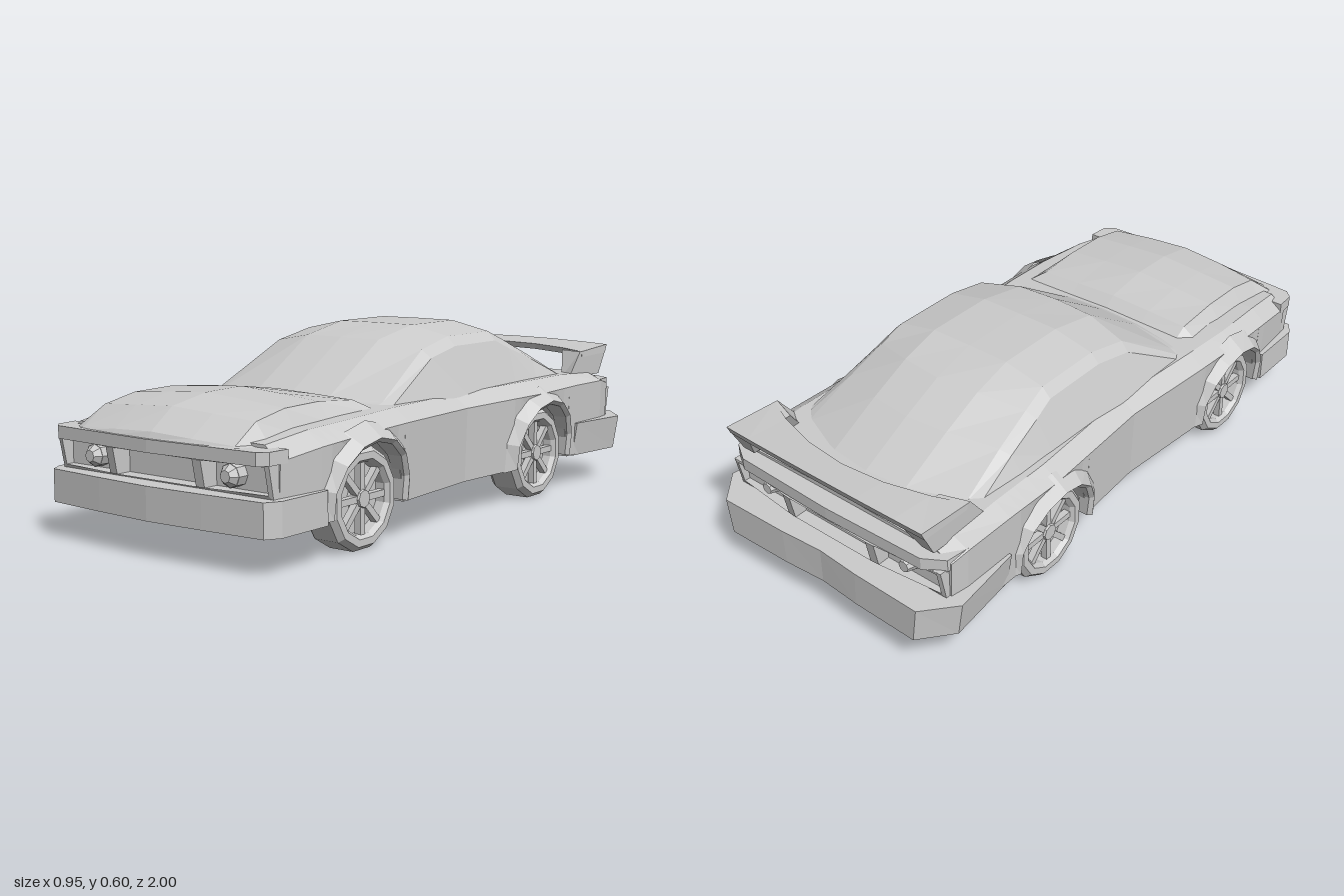
import * as THREE from 'three';

const mat = new THREE.MeshStandardMaterial({ color: 0xcccccc, flatShading: true });
const thin = new THREE.MeshStandardMaterial({ color: 0xcccccc, flatShading: true, side: THREE.DoubleSide });
const lerp = THREE.MathUtils.lerp;

function add(parent, name, geo, m = mat) {
  const mesh = new THREE.Mesh(geo, m);
  mesh.name = name;
  parent.add(mesh);
  return mesh;
}

// Skin through cross-sections; closed sections get end caps
function loft(rings, closed = true) {
  const n = rings[0].length, pos = rings.flat(2), idx = [];
  for (let i = 0; i < rings.length - 1; i++)
    for (let j = 0; j < (closed ? n : n - 1); j++) {
      const a = i * n + j, b = i * n + (j + 1) % n;
      idx.push(a, b, b + n, a, b + n, a + n);
    }
  if (closed) [0, rings.length - 1].forEach((r, end) => {
    const c = pos.length / 3;
    for (let k = 0; k < 3; k++) pos.push(rings[r].reduce((s, p) => s + p[k], 0) / n);
    for (let j = 0; j < n; j++) {
      const a = r * n + j, b = r * n + (j + 1) % n;
      idx.push(c, ...(end ? [a, b] : [b, a]));
    }
  });
  const g = new THREE.BufferGeometry();
  g.setAttribute('position', new THREE.Float32BufferAttribute(pos, 3));
  g.setIndex(idx);
  const flat = g.toNonIndexed();
  flat.computeVertexNormals();
  return flat;
}

// Half section (right side, going up) to a full symmetric one
const both = h => [...h, ...h.filter(p => p[0] > 0).reverse().map(([x, y, z]) => [-x, y, z])];
const mirror = rings => rings.map(r => r.map(([x, y, z]) => [-x, y, z])).reverse();

// Half plan outline [x, z] raised from y0 to y1, optionally narrower below
function slab(half, y0, y1, taper = 1) {
  const pts = [...half, ...half.filter(p => p[0] > 0).reverse().map(([x, z]) => [-x, z])];
  const g = new THREE.ExtrudeGeometry(new THREE.Shape(pts.map(([x, z]) => new THREE.Vector2(x, -z))),
    { depth: y1 - y0, bevelEnabled: false });
  g.rotateX(-Math.PI / 2).translate(0, y0, 0);
  const p = g.attributes.position;
  for (let i = 0; i < p.count; i++) if (p.getY(i) < y0 + 0.001) p.setX(i, p.getX(i) * taper);
  g.computeVertexNormals();
  return g;
}

// Bowed, leaning end panel with a centre opening and two lamp openings
function endPanel(w, y0, y1, zFace) {
  const rect = (P, x0, x1, a, b) => {
    const s = new P();
    s.moveTo(x0, a); s.lineTo(x1, a); s.lineTo(x1, b); s.lineTo(x0, b); s.closePath();
    return s;
  };
  const s = rect(THREE.Shape, -w, w, y0, y1), a = y0 + 0.015, b = y1 - 0.008;
  for (const [l, r] of [[-w + 0.015, -0.185], [-0.155, 0.155], [0.185, w - 0.015]])
    s.holes.push(rect(THREE.Path, l, r, a, b));
  const g = new THREE.ExtrudeGeometry(s, { depth: 0.08, bevelEnabled: false });
  g.translate(0, 0, zFace - 0.08);
  const p = g.attributes.position;
  for (let i = 0; i < p.count; i++)
    p.setZ(i, p.getZ(i) - 0.03 * (p.getX(i) / w) ** 2 - 0.2 * (y1 - p.getY(i)));
  g.computeVertexNormals();
  return g;
}

const AXLES = [-0.43, 0.54], HUB_Y = 0.16, ARCH = 0.17;

function bodyGeometry() {
  // z, half width, belt height, shoulder height
  const keys = [[-0.89, 0.43, 0.35, 0.375], [-0.83, 0.44, 0.365, 0.39], [-0.65, 0.44, 0.365, 0.4], [-0.43, 0.44, 0.36, 0.4],
    [0, 0.41, 0.355, 0.395], [0.35, 0.435, 0.355, 0.395], [0.54, 0.44, 0.35, 0.388], [0.75, 0.43, 0.335, 0.377], [0.91, 0.415, 0.315, 0.355]];
  const stations = keys.filter(k => !AXLES.some(a => Math.abs(a - k[0]) < ARCH)).map(k => [k[0], 0.12]);
  for (const a of AXLES) {
    stations.push([a - ARCH - 0.001, 0.12], [a + ARCH + 0.001, 0.12]);
    for (const d of [-1, -0.8, -0.45, 0, 0.45, 0.8, 1])
      stations.push([a + d * ARCH, HUB_Y + ARCH * Math.sqrt(1 - d * d)]);
  }
  stations.sort((p, q) => p[0] - q[0]);
  return loft(stations.map(([z, bottom]) => {
    let i = 0;
    while (i < keys.length - 2 && keys[i + 1][0] < z) i++;
    const t = (z - keys[i][0]) / (keys[i + 1][0] - keys[i][0]);
    const [, w, belt, top] = keys[i].map((v, k) => lerp(v, keys[i + 1][k], t));
    return both([[0.285, 0.12, z], [0.285, bottom, z], [w - 0.008, bottom, z], [w, belt, z], [w - 0.055, top, z], [0, top + 0.008, z]]);
  }));
}

function cabinGeometry() {
  const profile = [[-0.78, 0.4], [-0.6, 0.495], [-0.46, 0.56], [-0.31, 0.6], [-0.07, 0.6], [0.12, 0.565], [0.37, 0.41], [0.4, 0.395]];
  return loft(profile.map(([z, y]) => {
    const t = THREE.MathUtils.clamp((y - 0.4) / 0.2, 0, 1);
    const curve = z > 0 ? -0.06 : z < -0.4 ? 0.1 : 0;
    return both([[0.37, 0.385], [lerp(0.355, 0.315, t), lerp(0.388, 0.54, t)], [lerp(0.32, 0.285, t), lerp(0.393, 0.57, t)],
      [0.145, y], [0, y + 0.001]].map(([x, h]) => [x, h, z + curve * (x / 0.37) ** 2]));
  }));
}

function hoodGeometry() {
  // z, centre height, drop at the edge
  const rows = [[0.4, 0.4, 0.005], [0.44, 0.432, 0.012], [0.6, 0.455, 0.022], [0.75, 0.452, 0.022], [0.89, 0.427, 0.02], [0.975, 0.365, 0.015], [0.985, 0.345, 0.003]];
  return loft(rows.map(([z, y, d]) => {
    const bow = z > 0.8 ? 0.025 : 0;
    const base = Math.min(y - d - 0.002, lerp(0.395, 0.34, (z - 0.4) / 0.58));
    return both([[0.335, base], [0.295, y - d], [0.15, y - d * 0.45], [0, y]].map(([x, h]) => [x, h, z - bow * (x / 0.33) ** 2]));
  }));
}

// Raised lip around one wheel opening
function flareRings(z0) {
  const rings = [];
  for (let i = 0; i <= 8; i++) {
    const a = lerp(-0.2, Math.PI + 0.2, i / 8), s = Math.sin(a), w = 0.442 + 0.033 * Math.max(0, s);
    rings.push([[0.165, 0.4], [0.165, w - 0.012], [0.178, w], [0.222, 0.415]]
      .map(([r, x]) => [x, HUB_Y + r * s, z0 + r * Math.cos(a)]));
  }
  return rings;
}

function makeWheel() {
  const wheel = new THREE.Group();
  const profile = [[0.001, -0.06], [0.14, -0.06], [0.155, -0.042], [0.155, 0.042], [0.14, 0.06], [0.118, 0.06], [0.108, 0.045], [0.108, 0.015], [0.001, 0.015]];
  const tire = new THREE.LatheGeometry(profile.map(p => new THREE.Vector2(...p)), 12, Math.PI / 12);
  add(wheel, 'tire', tire.rotateZ(-Math.PI / 2));
  for (let i = 0; i < 8; i++) {
    const spoke = new THREE.BoxGeometry(0.022, 0.085, 0.02).translate(0.036, 0.067, 0);
    add(wheel, 'spoke', spoke.rotateX(i * Math.PI / 4));
  }
  add(wheel, 'hub', new THREE.CylinderGeometry(0.026, 0.036, 0.04, 8).rotateZ(-Math.PI / 2).translate(0.034, 0, 0));
  return wheel;
}

export function createModel() {
  const car = new THREE.Group();
  car.name = 'car';
  add(car, 'body', bodyGeometry());
  add(car, 'cabin', cabinGeometry());
  add(car, 'hood', hoodGeometry());

  // Bumpers and the ledges above the lamp panels
  add(car, 'frontBumper', slab([[0, 0.74], [0.44, 0.74], [0.437, 0.93], [0.41, 0.975], [0.2, 0.99], [0, 1]], 0.115, 0.215));
  add(car, 'rearBumper', slab([[0, -0.65], [0.445, -0.65], [0.475, -0.9], [0.39, -1], [0.15, -0.995], [0, -0.985]], 0.115, 0.232, 0.96));
  add(car, 'noseLip', slab([[0, 0.88], [0.418, 0.88], [0.412, 0.95], [0.385, 0.975], [0.2, 0.985], [0, 0.995]], 0.308, 0.346));
  add(car, 'tailLip', slab([[0, -0.8], [0.435, -0.82], [0.425, -0.9], [0.36, -0.94], [0, -0.95]], 0.328, 0.368));

  // Lamp panels
  add(car, 'frontPanel', endPanel(0.41, 0.21, 0.312, 0.982));
  add(car, 'rearPanel', endPanel(0.42, 0.228, 0.332, 0.955).rotateY(Math.PI));

  // Spoiler blade, bowed rearward in the middle
  add(car, 'spoilerBlade', loft([-0.39, -0.29, -0.15, 0, 0.15, 0.29, 0.39].map(x => {
    const u = (x / 0.39) ** 2, y = 0.492 - 0.01 * u, f = -0.87 + 0.1 * u, b = -0.972 + 0.012 * u;
    return [[x, y, b], [x, y - 0.012, f], [x, y - 0.032, f - 0.005], [x, y - 0.028, b + 0.012]];
  })));
  const strut = [[0.38, 0.34, 0.385, -0.69, -0.91], [0.47, 0.3, 0.39, -0.76, -0.955]]
    .map(([y, xi, xo, f, b]) => [[xi, y, f - 0.03], [xo, y, f], [xo, y, b], [xi, y, b]]);
  const flip = r => mirror(r).reverse().map(ring => [...ring].reverse());

  for (const s of [1, -1]) {
    const side = s > 0 ? 'left' : 'right';
    add(car, side + 'SpoilerStrut', loft(s > 0 ? strut : flip(strut)));
    const head = new THREE.CylinderGeometry(0.018, 0.035, 0.022, 8).rotateX(Math.PI / 2);
    add(car, side + 'Headlight', head).position.set(s * 0.265, 0.266, 0.953);
    add(car, side + 'HeadlightBase', new THREE.CylinderGeometry(0.035, 0.035, 0.04, 8).rotateX(Math.PI / 2)).position.set(s * 0.265, 0.266, 0.924);
    const tail = new THREE.CylinderGeometry(0.03, 0.018, 0.045, 8).rotateX(Math.PI / 2);
    add(car, side + 'TailLight', tail).position.set(s * 0.28, 0.285, -0.905);
    for (const z of AXLES) {
      const end = z > 0 ? 'Front' : 'Rear';
      add(car, side + end + 'Flare', loft(s > 0 ? flareRings(z) : mirror(flareRings(z)), false), thin);
      const wheel = makeWheel();
      wheel.name = side + end + 'Wheel';
      wheel.position.set(s * 0.36, 0.155, z);
      if (s < 0) wheel.rotation.y = Math.PI;
      car.add(wheel);
    }
  }
  return car;
}
